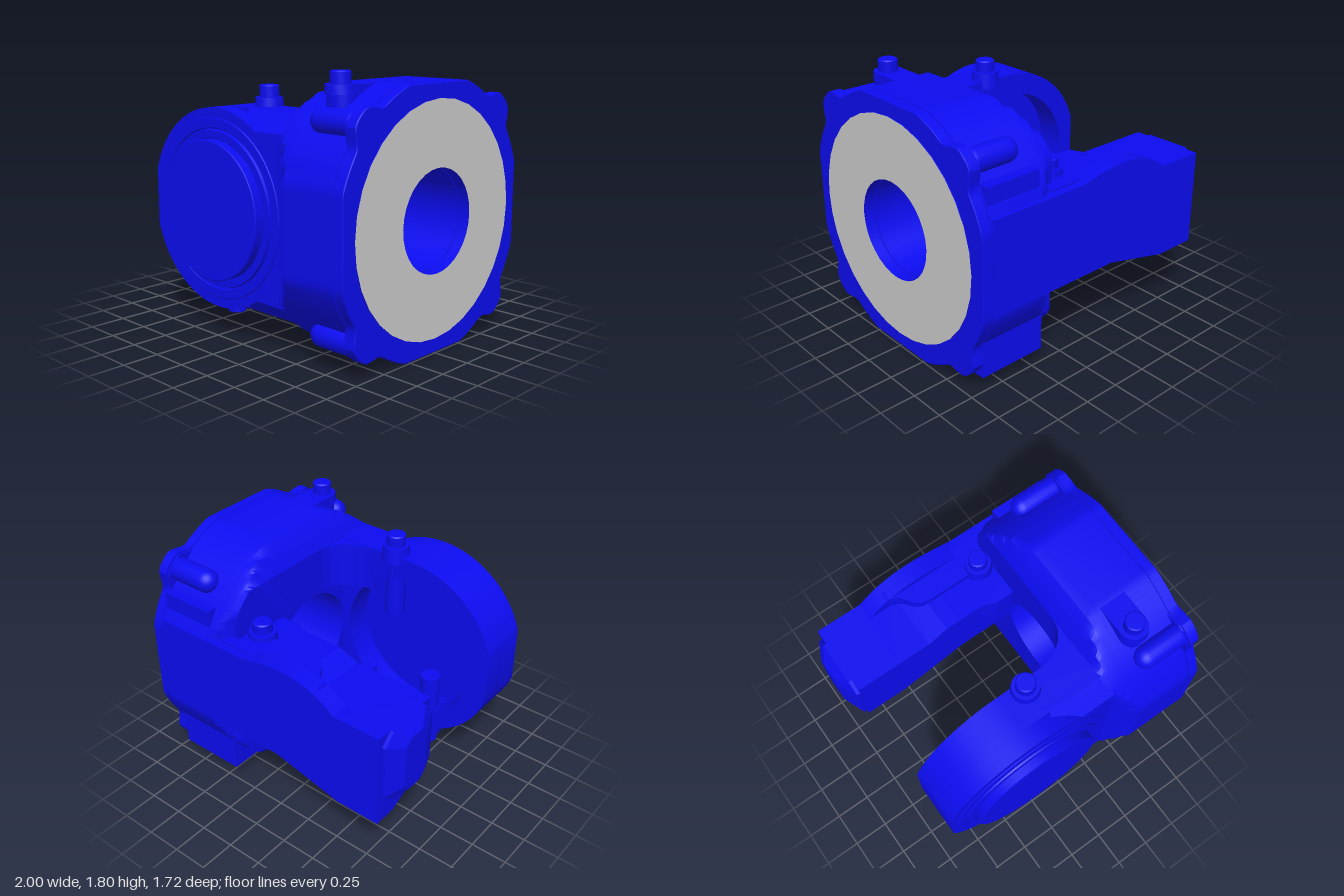
import * as THREE from 'three';
import { toCreasedNormals } from 'three/addons/utils/BufferGeometryUtils.js';

const CY = 0.86; // height of the main axes
const DX = -0.27; // x of the front disc axis

export function createModel() {
  const group = new THREE.Group();
  const blue = new THREE.MeshStandardMaterial({ color: 0x0c0cf0 });
  const grey = new THREE.MeshStandardMaterial({ color: 0xcccccc });

  const add = (name, geo, mat = blue, crease = 0.5) => {
    const mesh = new THREE.Mesh(toCreasedNormals(geo, crease), mat);
    mesh.name = name;
    group.add(mesh);
  };
  const box = (name, x0, x1, y0, y1, z0, z1) =>
    add(name, new THREE.BoxGeometry(x1 - x0, y1 - y0, z1 - z0)
      .translate((x0 + x1) / 2, (y0 + y1) / 2, (z0 + z1) / 2));
  const slab = (name, shape, z0, z1) =>
    add(name, new THREE.ExtrudeGeometry(shape, { depth: z1 - z0, bevelEnabled: false, curveSegments: 48 })
      .translate(0, 0, z0));

  // Skin over rings of [x, y, z] points that run +z, -y, -z, +y; rings advance towards +x
  const loft = (rings, caps = false) => {
    const n = rings[0].length, index = [];
    for (let k = 0; k < rings.length - 1; k++)
      for (let i = 0; i < n; i++) {
        const a = k * n + i, b = k * n + (i + 1) % n;
        index.push(a, b, a + n, b, b + n, a + n);
      }
    if (caps) {
      const e = (rings.length - 1) * n;
      for (let i = 1; i < n - 1; i++) index.push(0, i + 1, i, e, e + i, e + i + 1);
    }
    const g = new THREE.BufferGeometry();
    g.setAttribute('position', new THREE.Float32BufferAttribute(rings.flat(2), 3));
    g.setIndex(index);
    return g;
  };
  // Circle of radius R with flats at half height h and half width w, and optional corner ears
  const ring = (x, R, h = 9, w = 9, ear = 0) => Array.from({ length: 160 }, (_, i) => {
    const t = -i / 160 * Math.PI * 2, c = Math.cos(t), s = Math.sin(t);
    let r = Math.min(R, w / Math.abs(c), h / Math.abs(s));
    const d = (((t % (Math.PI / 2)) + Math.PI / 2) % (Math.PI / 2)) - Math.PI / 4;
    r += ear * Math.exp(-((d / 0.13) ** 4));
    return [x, CY + r * s, r * c];
  });

  // Main body with a through bore
  const bore = 0.337;
  add('body', loft([
    ring(0.32, bore), ring(0.32, 0.9, 0.67, 0.72), ring(0.36, 0.903, 0.74, 0.722),
    ring(0.39, 0.906, 0.79, 0.75), ring(0.44, 0.906, 0.845, 0.8), ring(0.5, 0.906, 0.86, 0.858),
    ring(0.91, 0.906, 0.86, 0.858), ring(0.91, bore), ring(0.32, bore),
  ]));
  // Eared flange, with a fine seam in front of the body
  add('flangeSeam', loft([ring(0.9, bore), ring(0.9, 0.895, 0.85, 0.85, 0.1),
    ring(0.92, 0.895, 0.85, 0.85, 0.1), ring(0.92, bore)]));
  add('flange', loft([ring(0.916, bore), ring(0.916, 0.906, 0.86, 0.86, 0.105),
    ring(0.985, 0.906, 0.86, 0.86, 0.105), ring(0.99, 0.9, 0.855, 0.855, 0.105),
    ring(0.99, bore), ring(0.916, bore)]));
  add('mountingRing', new THREE.RingGeometry(bore, 0.765, 32).rotateY(Math.PI / 2)
    .translate(0.996, CY, 0), grey);
  add('mountingRingEdge', new THREE.CylinderGeometry(0.765, 0.765, 0.012, 32, 1, true)
    .rotateZ(Math.PI / 2).translate(0.99, CY, 0));
  add('boreEdge', loft([ring(0.996, bore), ring(0.98, bore)]));

  // Screw bosses behind the flange ears
  for (const sy of [-1, 1]) for (const sz of [-1, 1])
    add('earBoss', new THREE.CapsuleGeometry(0.08, 0.24, 8, 20).rotateZ(Math.PI / 2)
      .translate(0.765, CY + sy * 0.655, sz * 0.655));
  box('rearUpperBlock', 0.5, 0.9, 1.15, 1.4, -0.8, -0.5);
  box('rearLowerBlock', 0.42, 0.91, 0.1, 0.6, -0.75, -0.45);

  // Front arm: rounded plate with a recess on its inner side
  const cut = Math.acos(0.64 / 0.67);
  const armOutline = () => {
    const s = new THREE.Shape();
    s.moveTo(0.42, CY - 0.67);
    s.lineTo(0.42, CY + 0.67);
    s.lineTo(DX, CY + 0.67);
    s.absarc(DX, CY, 0.67, Math.PI / 2, Math.PI - cut, false);
    s.absarc(DX, CY, 0.67, Math.PI + cut, Math.PI * 1.5, false);
    return s;
  };
  // The part right of the bore mouth stays inside the body, clear of the bore
  const rim = armOutline();
  rim.holes.push(new THREE.Path().absarc(DX, CY, 0.52, 0, Math.PI * 2, true));
  slab('frontArmRim', rim, 0.338, 0.55);
  slab('frontArmPlate', armOutline(), 0.54, 0.6);
  const disc = new THREE.Shape();
  disc.absarc(DX, CY, 0.67, cut - Math.PI, Math.PI - cut, false);
  slab('frontDisc', disc, 0.59, 0.72);
  // Chamfered neck from the disc to the body
  const neck = (x) => [[x, CY + 0.55, 0.72], [x, CY - 0.55, 0.72], [x, CY - 0.67, 0.6],
    [x, CY - 0.67, 0.55], [x, CY + 0.67, 0.55], [x, CY + 0.67, 0.6]];
  add('frontNeck', loft([neck(-0.07), neck(0.36)], true));

  // Round cover with fine grooves
  const cover = [[0.605, 0.71], [0.605, 0.726], [0.6, 0.73], [0.54, 0.73], [0.535, 0.722], [0.53, 0.722],
    [0.525, 0.74], [0.475, 0.74], [0.47, 0.735], [0.47, 0.795], [0.463, 0.8], [0, 0.8]];
  add('frontCover', new THREE.LatheGeometry(cover.map(([r, y]) => new THREE.Vector2(r, y)), 64)
    .rotateX(Math.PI / 2).translate(DX, CY, 0));

  // Inner fillets between front arm and body, above and below the bore
  const fillet = new THREE.Shape();
  fillet.moveTo(0.04, 0.4);
  fillet.lineTo(0.04, 0.335);
  fillet.bezierCurveTo(0.2, 0.33, 0.32, 0.24, 0.32, 0.1);
  fillet.lineTo(0.4, 0.1);
  fillet.lineTo(0.4, 0.4);
  for (const top of [CY + 0.665, CY - 0.345])
    add('innerFillet', new THREE.ExtrudeGeometry(fillet, { depth: 0.32, bevelEnabled: false, curveSegments: 16 })
      .rotateX(Math.PI / 2).translate(0, top, 0));

  // Bosses and screws: [x, y of the base, z, direction, boss height, screw height]
  const screws = [
    [-0.1, 1.52, 0.395, 1, 0.07, 0.15],
    [-0.43, 0.21, 0.42, -1, 0.07, 0.155],
    [0.635, 1.7, 0.5, 1, 0.02, 0.1],
    [0.23, 1.2, -0.59, 1, 0.07, 0.14],
    [-0.67, 0.48, -0.62, -1, 0.05, 0.11],
  ];
  for (const [x, y, z, dir, boss, len] of screws) {
    const profile = [[0.1, -0.04], [0.095, 0.02], [0.09, boss], [0.065, boss], [0.065, len - 0.008], [0.057, len], [0, len]];
    const g = new THREE.LatheGeometry(profile.map(([r, h]) => new THREE.Vector2(r, h)), 28);
    if (dir < 0) g.rotateX(Math.PI);
    add('screw', g.translate(x, y, z));
  }
  // Screw housings running down the inside of the front arm recess
  for (const [x, y] of [[-0.1, 1.28], [-0.43, 0.42]])
    add('screwHousing', new THREE.CylinderGeometry(0.07, 0.07, 0.44, 24).translate(x, y, 0.405));
  // Rounded pad under the upper body screw
  const pad = new THREE.Shape();
  pad.absarc(0.635, 0.485, 0.095, 0, Math.PI, false);
  pad.lineTo(0.54, 0.2);
  pad.lineTo(0.73, 0.2);
  add('screwPad', new THREE.ExtrudeGeometry(pad, { depth: 0.25, bevelEnabled: false, curveSegments: 20 })
    .rotateX(Math.PI / 2).translate(0, 1.718, 0));

  // Rear arm with a sloping inner underside: [x, bottom, top]
  const rearSections = [[-0.91, 0.46, 1.13], [-0.6, 0.46, 1.13], [-0.35, 0.52, 1.13],
    [-0.2, 0.555, 1.19], [-0.1, 0.58, 1.19], [0.9, 0.58, 1.19]];
  add('rearArm', loft(rearSections.map(([x, y0, y1]) => [
    [x, y1, -0.342], [x, y0 + 0.17, -0.342], [x, y0, -0.7], [x, y0, -0.86], [x, y1, -0.86],
  ]), true), blue, 0.3);
  const hump = new THREE.Shape();
  hump.moveTo(-0.6, 1.08);
  hump.lineTo(-0.57, 1.13);
  hump.bezierCurveTo(-0.42, 1.25, -0.28, 1.27, -0.15, 1.27);
  hump.bezierCurveTo(0, 1.27, 0.1, 1.23, 0.2, 1.22);
  hump.lineTo(0.9, 1.22);
  hump.lineTo(0.9, 1.08);
  slab('rearHump', hump, -0.86, -0.73);
  const bulge = new THREE.Shape();
  bulge.moveTo(0.4, -0.8);
  bulge.lineTo(-0.42, -0.8);
  bulge.lineTo(-0.42, -0.73);
  bulge.bezierCurveTo(-0.28, -0.72, -0.33, -0.57, -0.17, -0.57);
  bulge.lineTo(0.4, -0.57);
  add('rearBulge', new THREE.ExtrudeGeometry(bulge, { depth: 0.2, bevelEnabled: false, curveSegments: 12 })
    .rotateX(Math.PI / 2).translate(0, 1.23, 0));
  // Small fillet between rear arm and body
  const rearFillet = new THREE.Shape();
  rearFillet.moveTo(0.05, -0.4);
  rearFillet.lineTo(0.4, -0.4);
  rearFillet.lineTo(0.4, -0.305);
  rearFillet.lineTo(0.17, -0.305);
  rearFillet.quadraticCurveTo(0.12, -0.34, 0.05, -0.342);
  add('rearFillet', new THREE.ExtrudeGeometry(rearFillet, { depth: 0.18, bevelEnabled: false })
    .rotateX(Math.PI / 2).translate(0, 1.19, 0));

  // Chamfered end cap of the rear arm
  const octagon = (x, z0, z1, y0, y1, c) => [
    [x, y0, z0 + c], [x, y0 + c, z0], [x, y1 - c, z0], [x, y1, z0 + c],
    [x, y1, z1 - c], [x, y1 - c, z1], [x, y0 + c, z1], [x, y0, z1 - c],
  ];
  add('rearEndCap', loft([
    octagon(-1, -0.71, -0.5, 0.66, 1.06, 0.05), octagon(-0.935, -0.83, -0.35, 0.595, 1.13, 0.08),
    octagon(-0.9, -0.83, -0.35, 0.595, 1.13, 0.08),
  ], true), blue, 0.2);

  return group;
}
